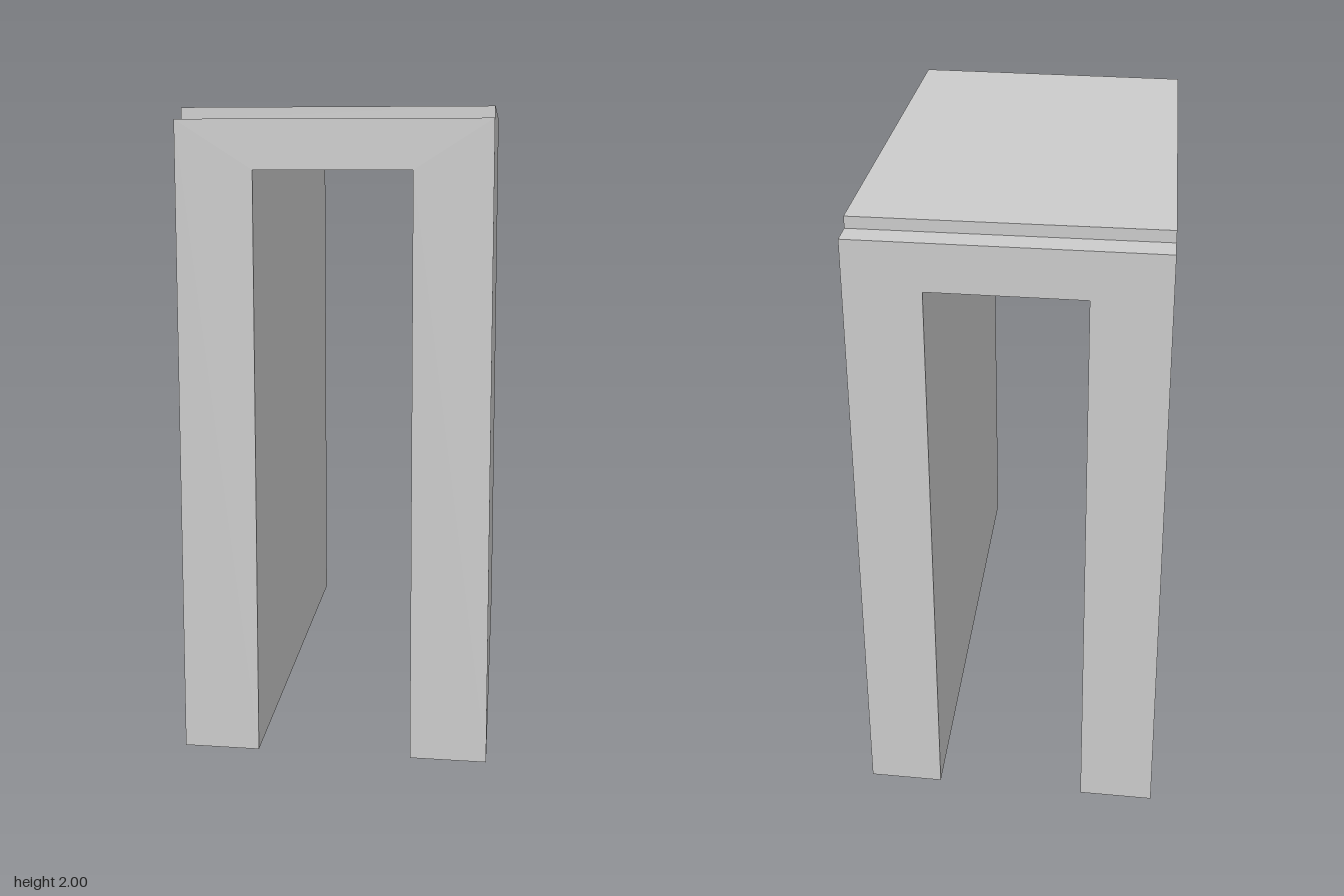
import * as THREE from 'three';

const HALF = 0.477, INNER = 0.24, LINTEL = 1.813, SHOULDER = 1.963, TOP = 2;

// Extrudes an outline along z, with slanted ends: each end is [z at -x side, z at +x side]
function slantedPrism(name, outline, back, front, material) {
  const shape = new THREE.Shape(outline.map(([x, y]) => new THREE.Vector2(x, y)));
  const geometry = new THREE.ExtrudeGeometry(shape, { depth: 1, bevelEnabled: false });
  const p = geometry.attributes.position;
  for (let i = 0; i < p.count; i++) {
    const t = (p.getX(i) + HALF) / (2 * HALF);
    const end = p.getZ(i) > 0.5 ? front : back;
    p.setZ(i, THREE.MathUtils.lerp(end[0], end[1], t));
  }
  geometry.computeVertexNormals();
  const mesh = new THREE.Mesh(geometry, material);
  mesh.name = name;
  return mesh;
}

export function createModel() {
  const group = new THREE.Group();
  group.name = 'passage';
  const material = new THREE.MeshStandardMaterial({ color: 0xcccccc, flatShading: true });

  // Two side walls joined by the lintel, open at the bottom and both ends
  group.add(slantedPrism('wallsAndLintel', [
    [-HALF, 0], [-INNER, 0], [-INNER, LINTEL], [INNER, LINTEL],
    [INNER, 0], [HALF, 0], [HALF, SHOULDER], [-HALF, SHOULDER],
  ], [-0.917, -0.88], [0.872, 0.917], material));

  // Thin raised slab on the roof, set back from both ends
  group.add(slantedPrism('roofSlab', [
    [-HALF, SHOULDER], [HALF, SHOULDER], [HALF, TOP], [-HALF, TOP],
  ], [-0.825, -0.793], [0.766, 0.822], material));

  return group;
}
